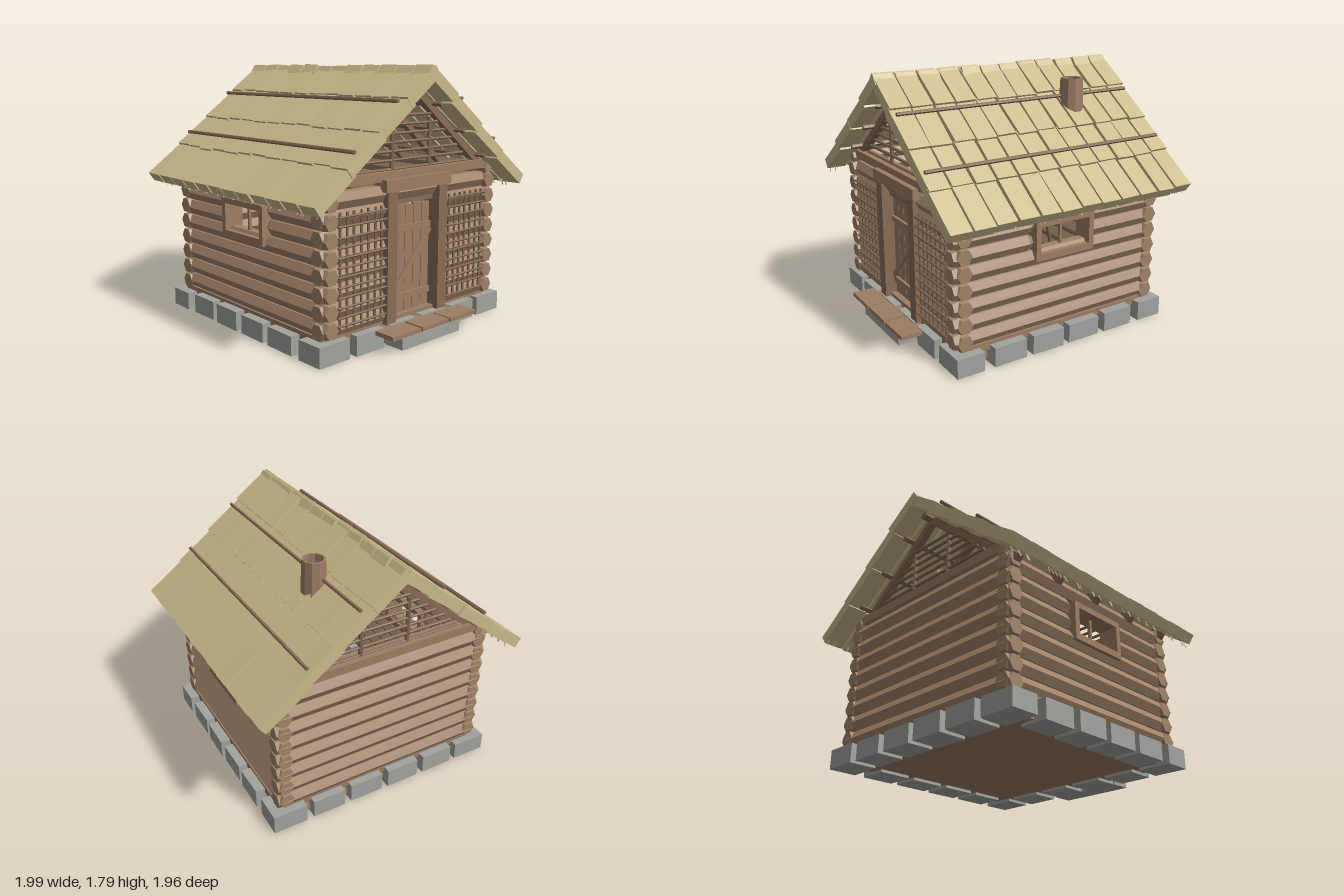
import * as THREE from 'three';

const mat = (name, color) => {
  const m = new THREE.MeshStandardMaterial({ color });
  m.name = name;
  return m;
};
const V = (x, y, z) => new THREE.Vector3(x, y, z);
const UP = V(0, 1, 0);
const CZ = -0.02; // middle of the cabin along z

export function createModel() {
  const root = new THREE.Group();
  root.name = 'logCabin';
  const logWood = mat('log brown', 0xa18369);
  const plankWood = mat('plank brown', 0x9d7d64);
  const postWood = mat('post brown', 0x8a6d57);
  const stickWood = mat('stick brown', 0x806750);
  const stone = mat('stone grey', 0xa2a29f);
  const thatch = mat('roof straw', 0xcaba8b);

  let seed = 7;
  const jit = (a) => {
    seed = (seed * 16807) % 2147483647;
    return (seed / 2147483647 - 0.5) * 2 * a;
  };
  const group = (name, parent = root) => {
    const g = new THREE.Group();
    g.name = name;
    parent.add(g);
    return g;
  };
  const add = (parent, name, geo, material) => {
    const m = new THREE.Mesh(geo, material);
    m.name = name;
    parent.add(m);
    return m;
  };
  const flat = (geo) => {
    const g = geo.toNonIndexed();
    g.computeVertexNormals();
    return g;
  };
  // Box given by its limits
  const box = (parent, name, material, x0, x1, y0, y1, z0, z1) => {
    const m = add(parent, name, new THREE.BoxGeometry(x1 - x0, y1 - y0, z1 - z0), material);
    m.position.set((x0 + x1) / 2, (y0 + y1) / 2, (z0 + z1) / 2);
    return m;
  };
  // Thin round stick between two points
  const stick = (parent, name, material, a, b, r) => {
    const d = b.clone().sub(a);
    const m = add(parent, name, flat(new THREE.CylinderGeometry(r, r, d.length(), 6)), material);
    m.position.copy(a).add(b).multiplyScalar(0.5);
    m.quaternion.setFromUnitVectors(UP, d.normalize());
    return m;
  };
  // Six-sided log with tapered ends; e0 and e1 are the end radius ratios
  const log = (parent, axis, from, to, u, y, r = 0.06, e0 = 0.88, e1 = 0.88) => {
    const t = 0.05;
    const pts = [[0, from], [r * e0, from], [r, from + t], [r, to - t], [r * e1, to], [0, to]];
    const geo = new THREE.LatheGeometry(pts.map(([a, b]) => new THREE.Vector2(a, b)), 6);
    if (axis === 'z') geo.rotateY(Math.PI / 6).rotateX(Math.PI / 2);
    else geo.rotateZ(-Math.PI / 2);
    const m = add(parent, 'log', flat(geo), logWood);
    m.position.set(axis === 'z' ? u : 0, y, axis === 'z' ? 0 : u);
  };

  // Foundation stones around the edge
  const base = group('foundation');
  const block = (x, z, w, d) => {
    const h = 0.13 + jit(0.006);
    const geo = new THREE.BoxGeometry(w + jit(0.008), h, d + jit(0.008));
    const m = add(base, 'foundationStone', geo, stone);
    m.position.set(x, h / 2, z);
    m.rotation.y = jit(0.02);
  };
  for (let i = 0; i < 6; i++) {
    const t = -0.745 + i * 0.298;
    for (const s of [-1, 1]) {
      block(t, CZ + s * 0.745, 0.245, 0.2);
      if (i > 0 && i < 5) block(s * 0.765, CZ + t, 0.2, 0.245);
    }
  }
  box(base, 'floor', plankWood, -0.77, 0.77, 0.02, 0.065, -0.8, 0.76);
  for (const s of [-1, 1]) {
    box(base, 'sideSill', plankWood, s * 0.75 - 0.05, s * 0.75 + 0.05, 0.1, 0.155, -0.8, 0.76);
    box(base, 'endSill', plankWood, -0.76, 0.76, 0.1, 0.16, CZ + s * 0.74 - 0.05, CZ + s * 0.74 + 0.05);
  }

  // Doorstep: a flat stone and three boards
  const step = group('doorstep');
  box(step, 'stepStone', stone, -0.28, 0.28, 0, 0.075, 0.8, 0.945);
  for (let i = -1; i <= 1; i++)
    box(step, 'stepBoard', plankWood, i * 0.275 - 0.13, i * 0.275 + 0.13, 0.1, 0.128, 0.78, 0.98).rotation.z = i * 0.01;

  // Log walls
  const walls = group('logWalls');
  for (let i = 0; i < 8; i++) {
    const ys = 0.2 + i * 0.111, yx = 0.19 + i * 0.115;
    for (const s of [-1, 1]) {
      const x = s * 0.75;
      if (i === 5 || i === 6) {
        log(walls, 'z', -0.83, -0.23, x, ys, 0.06, 0.88, 0.55);
        log(walls, 'z', 0.2, 0.805, x, ys, 0.06, 0.55, 0.88);
      } else log(walls, 'z', -0.83, 0.805, x, ys);
    }
    log(walls, 'x', -0.81, 0.81, -0.77, yx, 0.064);
    if (i === 7) log(walls, 'x', -0.81, 0.81, 0.73, yx - 0.01);
    else {
      log(walls, 'x', -0.81, -0.24, 0.73, yx, 0.062);
      log(walls, 'x', 0.24, 0.81, 0.73, yx, 0.062);
    }
  }
  for (const s of [-1, 1]) log(walls, 'z', -0.83, 0.8, s * 0.74, 1.065, 0.045);

  // Side windows
  for (const s of [-1, 1]) {
    const w = group(s > 0 ? 'leftWindow' : 'rightWindow');
    const piece = (n, y0, y1, z0, z1, a = 0.69, b = 0.83) =>
      box(w, n, plankWood, Math.min(s * a, s * b), Math.max(s * a, s * b), y0, y1, z0, z1);
    piece('windowSill', 0.63, 0.675, -0.25, 0.215);
    piece('windowHead', 0.86, 0.9, -0.25, 0.215);
    piece('windowJamb', 0.67, 0.865, 0.178, 0.215);
    piece('windowJamb', 0.67, 0.865, -0.25, -0.21);
    piece('windowBar', 0.67, 0.865, -0.03, -0.012, 0.75, 0.77);
  }

  // Door, posts and lintel
  const door = group('door');
  for (let i = 0; i < 5; i++) {
    const x = -0.196 + i * 0.079;
    box(door, 'doorBoard', plankWood, x, x + 0.075, 0.14, 0.885 + jit(0.006), 0.7, 0.725);
  }
  for (const y of [0.25, 0.71]) box(door, 'doorBatten', plankWood, -0.19, 0.19, y, y + 0.04, 0.72, 0.745);
  const brace = add(door, 'doorBrace', new THREE.BoxGeometry(0.54, 0.032, 0.02), plankWood);
  brace.position.set(0, 0.5, 0.745);
  brace.rotation.z = Math.atan2(0.41, 0.37);
  const frame = group('doorFrame');
  for (const s of [-1, 1]) {
    box(frame, 'doorPost', postWood, s * 0.242 - 0.042, s * 0.242 + 0.042, 0.13, 1.0, 0.68, 0.81);
  }
  box(frame, 'doorHeader', postWood, -0.2, 0.2, 0.9, 0.96, 0.68, 0.75);
  box(frame, 'lintel', plankWood, -0.31, 0.31, 1.0, 1.08, 0.7, 0.82);

  // Woven stick panels on both sides of the door
  for (const s of [-1, 1]) {
    const p = group('stickPanel');
    for (let i = 0; i < 7; i++) {
      const x = s * (0.325 + i * 0.058 + jit(0.004));
      stick(p, 'uprightStick', stickWood, V(x, 0.19, 0.79), V(x + jit(0.004), 0.92, 0.79), 0.009);
    }
    for (let i = 0; i < 12; i++) {
      const y = 0.21 + i * 0.062 + jit(0.004);
      stick(p, 'crossStick', stickWood, V(s * 0.29, y, 0.802), V(s * 0.7, y + jit(0.004), 0.802), 0.008);
    }
  }

  // Open gables made of sticks
  for (const z of [0.73, -0.77]) {
    const g = group(z > 0 ? 'frontGable' : 'backGable');
    box(g, 'tieBeam', plankWood, -0.72, 0.72, 1.065, 1.125, z - 0.05, z + 0.05);
    for (let i = 0; i < 7; i++) {
      const h = 0.59 - i * 0.062, y = 1.13 + i * 0.057;
      stick(g, 'gableStick', stickWood, V(-h, y, z), V(h, y, z), 0.011);
    }
    for (const s of [-1, 1]) stick(g, 'gableUpright', stickWood, V(s * 0.177, 1.12, z), V(s * 0.177, 1.45, z), 0.015);
  }

  // Roof: overlapping courses of bundles on two slopes
  const pitch = Math.atan(0.8);
  for (const s of [1, -1]) {
    const side = group(s > 0 ? 'leftRoof' : 'rightRoof');
    side.position.set(0, 1.795, -0.025);
    side.rotation.y = s > 0 ? 0 : Math.PI;
    const slope = group('slope', side);
    slope.rotation.z = -pitch;
    for (let c = 0; c < 12; c++) {
      const z = -0.877 + c * 0.1595;
      for (let k = 0; k < 4; k++) {
        const len = k ? 0.345 : 0.32;
        const end = (k + 1) * 0.317 + (k < 3 ? jit(0.01) : jit(0.004));
        const geo = new THREE.BoxGeometry(len, 0.075, 0.143 + jit(0.006));
        const m = add(slope, 'roofBundle', geo, thatch);
        m.position.set(end - len / 2, -0.045 + jit(0.003), z + jit(0.004));
        m.rotation.set(jit(0.02), jit(0.02), 0.045);
      }
      // Loose straws at the eave
      for (let j = 0; j < 3; j++) {
        const q = z + jit(0.06);
        stick(slope, 'straw', thatch, V(1.22, -0.08, q), V(1.262, -0.105, q + jit(0.01)), 0.003);
      }
    }
    for (const x of [0.37, 0.825])
      stick(slope, 'roofPole', postWood, V(x, 0.012, -0.92), V(x, 0.012, 0.93), 0.013);
    for (const z of [0.755, 0.38, 0.005, -0.37, -0.745])
      box(slope, 'rafter', postWood, 0.06, 1.16, -0.135, -0.09, s * z - 0.025, s * z + 0.025);
    for (const x of [0.3, 0.6, 0.9])
      box(slope, 'roofLath', postWood, x - 0.015, x + 0.015, -0.1, -0.078, -0.86, 0.86);
  }
  stick(root, 'ridgePole', postWood, V(0, 1.665, -0.86), V(0, 1.665, 0.82), 0.035);

  // Hollow tapered chimney
  const flue = [[0.095, 1.3], [0.078, 1.695], [0.064, 1.695], [0.08, 1.3], [0.095, 1.3]];
  const chimney = add(root, 'chimney',
    flat(new THREE.LatheGeometry(flue.map(([r, y]) => new THREE.Vector2(r, y)), 10)), plankWood);
  chimney.position.set(0.32, 0, -0.43);

  // Pole trestle inside
  const trestle = group('innerTrestle');
  for (const x of [-0.2, 0.2])
    for (const z of [-0.1, -0.45])
      stick(trestle, 'trestleLeg', stickWood, V(x, 0.06, z), V(x, 0.62, -0.275 + (z + 0.275) * 0.3), 0.014);
  stick(trestle, 'trestleBar', stickWood, V(-0.24, 0.6, -0.275), V(0.24, 0.6, -0.275), 0.014);

  return root;
}
